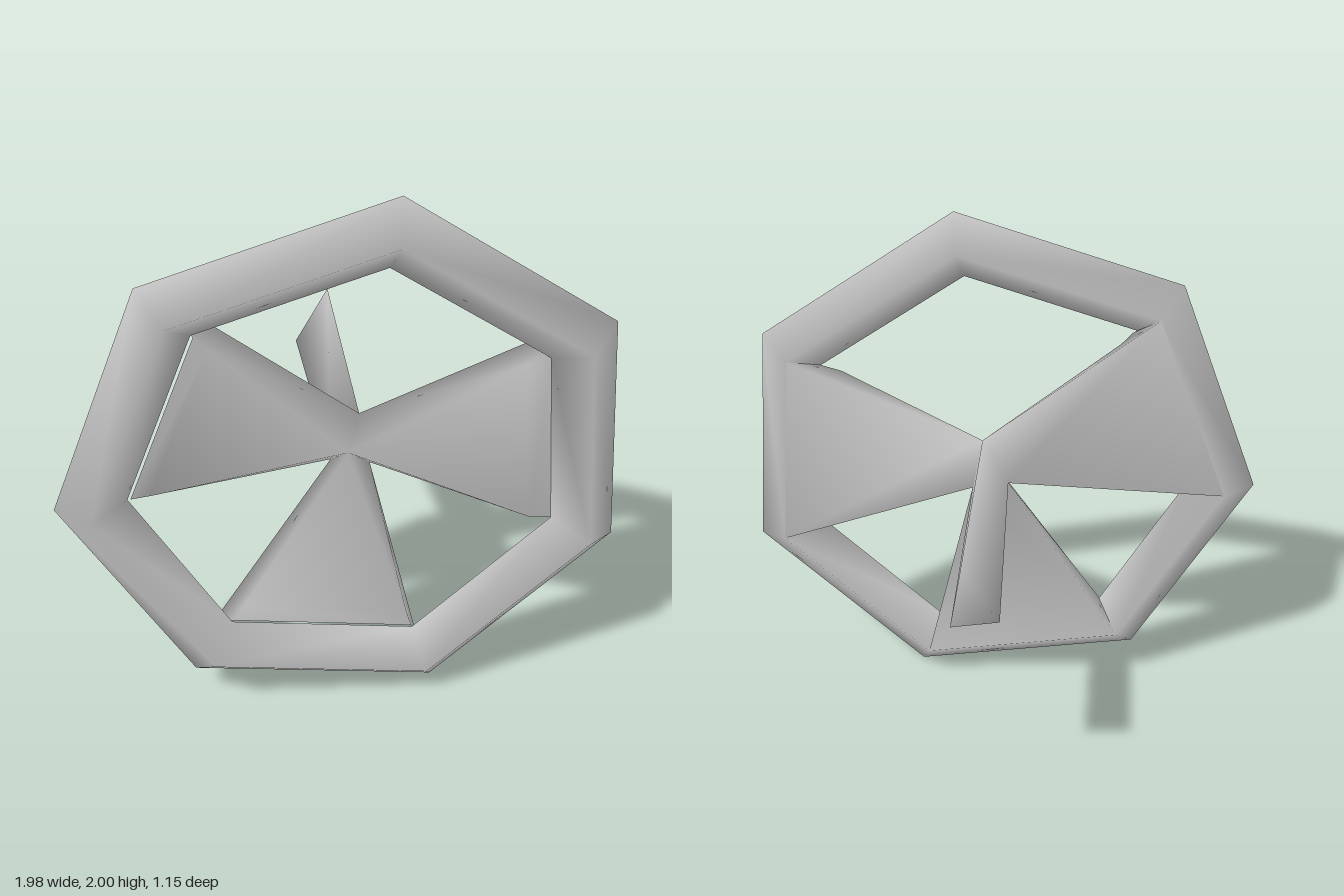
import * as THREE from 'three';

const CX = 0.03, CY = 0.984, CZ = 0.457;      // wheel centre
const START = THREE.MathUtils.degToRad(81.6); // angle of the first rim corner
const RING = 0.903, TUBE = 0.1255, DEPTH = 0.119;

// Point on the spoke line through rim corner k, counter-clockwise from the top
function corner(k, r, z) {
  const a = START + (k * Math.PI * 2) / 7;
  return [CX + r * Math.cos(a), CY + r * Math.sin(a), z];
}

export function createModel() {
  const group = new THREE.Group();
  group.name = 'steeringWheel';
  const grey = new THREE.MeshStandardMaterial({ color: 0xc4c4c4 });
  grey.name = 'grey';

  // Seven-sided rim with a diamond section
  const rim = new THREE.Mesh(new THREE.TorusGeometry(RING, TUBE, 4, 7), grey);
  rim.name = 'rim';
  rim.position.set(CX, CY, CZ);
  rim.rotation.z = START;
  rim.scale.z = DEPTH / TUBE;
  group.add(rim);

  // Three-sided column, slightly flared towards the back, with a closed end
  const points = [
    [0.07, 1.13, 0.337], [-0.03, 0.945, 0.337], [0.11, 0.92, 0.337],
    [0.08, 1.13, -0.577], [-0.05, 0.91, -0.562], [0.12, 0.885, -0.566],
    [0.025, 1.0, 0.385] // front of the hub
  ];
  const F = 6;
  const index = [3, 5, 4];
  for (let i = 0; i < 3; i++) {
    const j = (i + 1) % 3;
    index.push(i, i + 3, j, j, i + 3, j + 3);
  }

  // Wedge spokes: front from the inner rim corners, back from the rear ridge.
  // The last one is a little wider just inside the rim.
  const spokes = [[1, 0, 1, 0.767, 0], [3, 1, 2, 0.77, 0], [5, 2, 0, 0.778, 0.035]];
  for (const [k, ca, cb, inner, flare] of spokes) {
    const n = points.length;
    const [af, bf, am, bm, ab, bb] = [n, n + 1, n + 2, n + 3, n + 4, n + 5];
    for (const [r, z, f] of [[inner, CZ, 0], [0.7, 0.453, flare], [RING, CZ - DEPTH, 0]]) {
      points.push(corner(k - f, r, z), corner(k + 1 + f, r, z));
    }
    index.push(
      F, am, bm, am, af, bf, am, bf, bm,   // front
      ab, ca, cb, ab, cb, bb,              // back
      am, F, ca, am, ca, ab, af, am, ab,   // edge
      bm, cb, F, bm, bb, cb, bf, bb, bm    // opposite edge
    );
  }

  const g = new THREE.BufferGeometry();
  g.setAttribute('position', new THREE.Float32BufferAttribute(points.flat(), 3));
  g.setIndex(index);
  g.computeVertexNormals();
  const core = new THREE.Mesh(g, grey);
  core.name = 'spokesAndColumn';
  group.add(core);

  return group;
}
